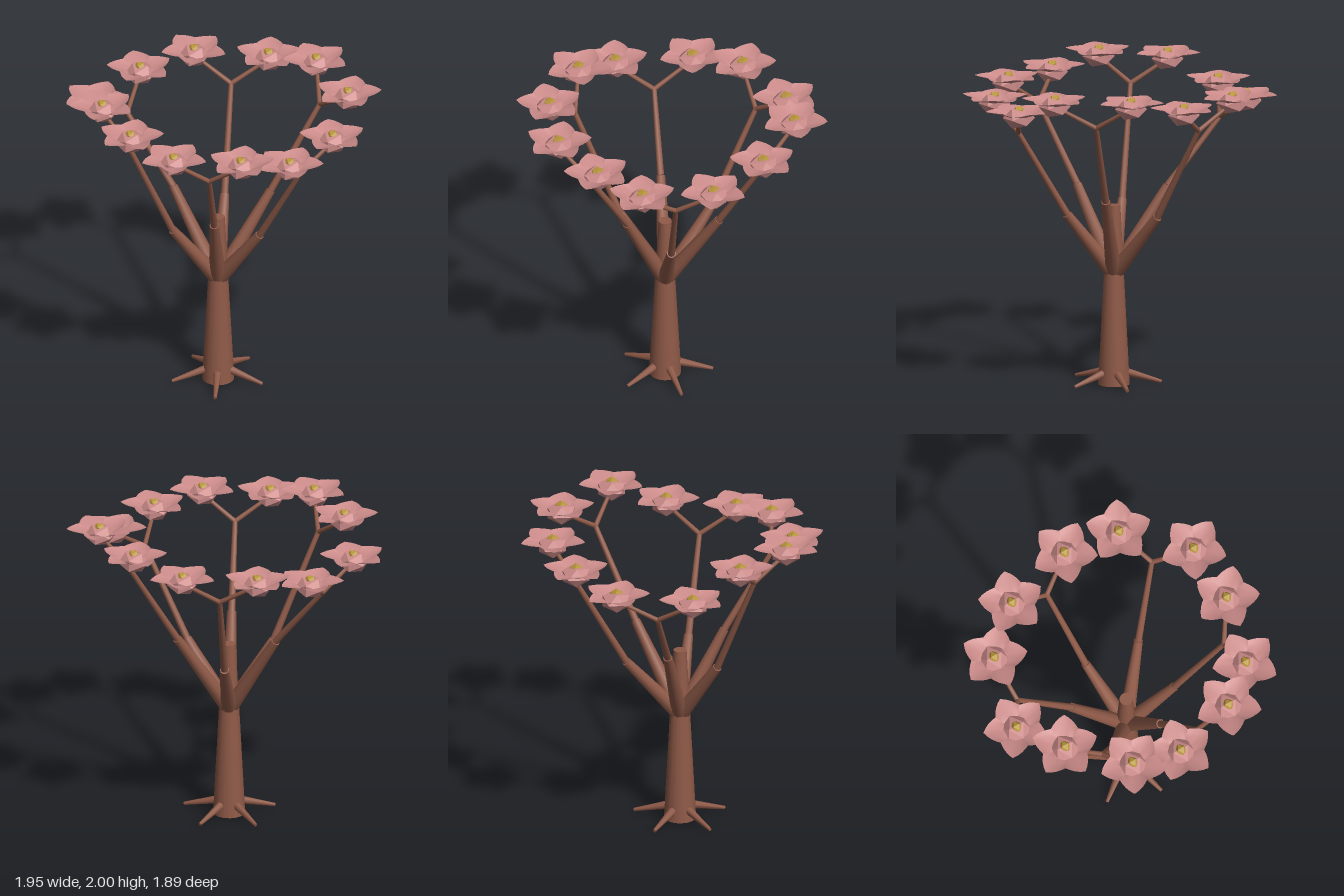
import * as THREE from 'three';

const bark = new THREE.MeshStandardMaterial({ color: 0x8f5a48 });
const pink = new THREE.MeshStandardMaterial({ color: 0xcc8c8a, side: THREE.DoubleSide });
const pinkFlat = new THREE.MeshStandardMaterial({ color: 0xcc8c8a, flatShading: true });
const yellow = new THREE.MeshStandardMaterial({ color: 0xb8963c, flatShading: true });

const CX = 0.03, CZ = 0.04; // trunk axis
const v3 = (x, y, z) => new THREE.Vector3(x, y, z);

// Tapered round limb between two points
function limb(name, a, b, r0, r1, sides = 10) {
  const dir = b.clone().sub(a);
  const mesh = new THREE.Mesh(new THREE.CylinderGeometry(r1, r0, dir.length(), sides), bark);
  mesh.position.copy(a).add(b).multiplyScalar(0.5);
  mesh.quaternion.setFromUnitVectors(v3(0, 1, 0), dir.normalize());
  mesh.name = name;
  return mesh;
}

// One petal: a 72 degree sector with a pointed rim, cupped upwards
function petalGeometry() {
  const N = 6, M = 8, pos = [], idx = [];
  for (let i = 0; i <= N; i++) {
    for (let j = 0; j <= M; j++) {
      const u = i / N, v = (j / M) * 2 - 1, w = 1 - Math.abs(v);
      const r = u * (0.145 + 0.065 * Math.pow(w, 1.15));
      const a = v * Math.PI / 5;
      const y = 0.048 * u * u + 0.012 * Math.sin(Math.PI * u) * (1 - v * v);
      pos.push(r * Math.cos(a), y, r * Math.sin(a));
      if (i < N && j < M) {
        const p = i * (M + 1) + j, q = p + M + 1;
        idx.push(p, p + 1, q, p + 1, q + 1, q);
      }
    }
  }
  const g = new THREE.BufferGeometry();
  g.setAttribute('position', new THREE.Float32BufferAttribute(pos, 3));
  g.setIndex(idx);
  g.computeVertexNormals();
  return g;
}

const petalGeo = petalGeometry();
const cupGeo = new THREE.IcosahedronGeometry(0.1, 0).scale(1, 0.7, 1);
const budGeo = new THREE.IcosahedronGeometry(0.042, 0);

// Blossom: faceted cup, five petals and a faceted yellow centre
function flower(turn) {
  const g = new THREE.Group();
  g.name = 'flower';
  const cup = new THREE.Mesh(cupGeo, pinkFlat);
  cup.name = 'flowerCup';
  const bud = new THREE.Mesh(budGeo, yellow);
  bud.name = 'flowerCentre';
  bud.position.y = 0.038;
  g.add(cup, bud);
  for (let i = 0; i < 5; i++) {
    const petal = new THREE.Mesh(petalGeo, pink);
    petal.name = 'petal';
    petal.rotation.y = -THREE.MathUtils.degToRad(turn + i * 72);
    g.add(petal);
  }
  return g;
}

export function createModel() {
  const tree = new THREE.Group();
  tree.name = 'floweringTree';

  tree.add(limb('trunk', v3(CX, 0, CZ), v3(CX, 1.14, CZ), 0.1, 0.041, 16));

  // Roots spread evenly around the foot
  for (let i = 0; i < 5; i++) {
    const a = i * Math.PI * 2 / 5, c = Math.cos(a), s = Math.sin(a);
    tree.add(limb('root', v3(CX + 0.03 * c, 0.088, CZ + 0.03 * s),
      v3(CX + 0.297 * c, 0.016, CZ + 0.297 * s), 0.03, 0.011, 8));
  }

  // Branches: joint [x, y, z], fork [x, y, z], two flowers [x, z, petal turn]
  const branches = [
    { joint: [0.335, 1.105, 0.11], fork: [0.645, 1.65, 0.195], flowers: [[0.78, -0.005, 24], [0.666, 0.426, 55]] },
    { joint: [0.115, 1.235, 0.32], fork: [0.2, 1.71, 0.616], flowers: [[0.42, 0.632, 40], [0.013, 0.742, 66]] },
    { joint: [-0.185, 1.11, 0.26], fork: [-0.4, 1.78, 0.48], flowers: [[-0.3, 0.684, 45], [-0.61, 0.38, 11]] },
    { joint: [-0.31, 1.24, -0.055], fork: [-0.65, 1.65, -0.137], flowers: [[-0.78, 0.074, 55], [-0.666, -0.395, 20]] },
    { joint: [-0.063, 1.11, -0.3], fork: [-0.15, 1.71, -0.626], flowers: [[0.05, -0.753, 36], [-0.4, -0.632, 0]] },
    { joint: [0.275, 1.24, -0.225], fork: [0.51, 1.78, -0.46], flowers: [[0.4, -0.68, 9], [0.745, -0.347, 45]] },
  ];
  for (const { joint, fork, flowers } of branches) {
    const j = v3(...joint), f = v3(...fork);
    tree.add(limb('lowerBranch', v3(CX, 0.7, CZ), j, 0.052, 0.029));
    tree.add(limb('upperBranch', j, f, 0.023, 0.016));
    for (const [x, z, turn] of flowers) {
      const head = v3(x, f.y + 0.147, z);
      tree.add(limb('twig', f, head, 0.016, 0.012, 8));
      const blossom = flower(turn);
      blossom.position.copy(head);
      tree.add(blossom);
    }
  }
  return tree;
}
